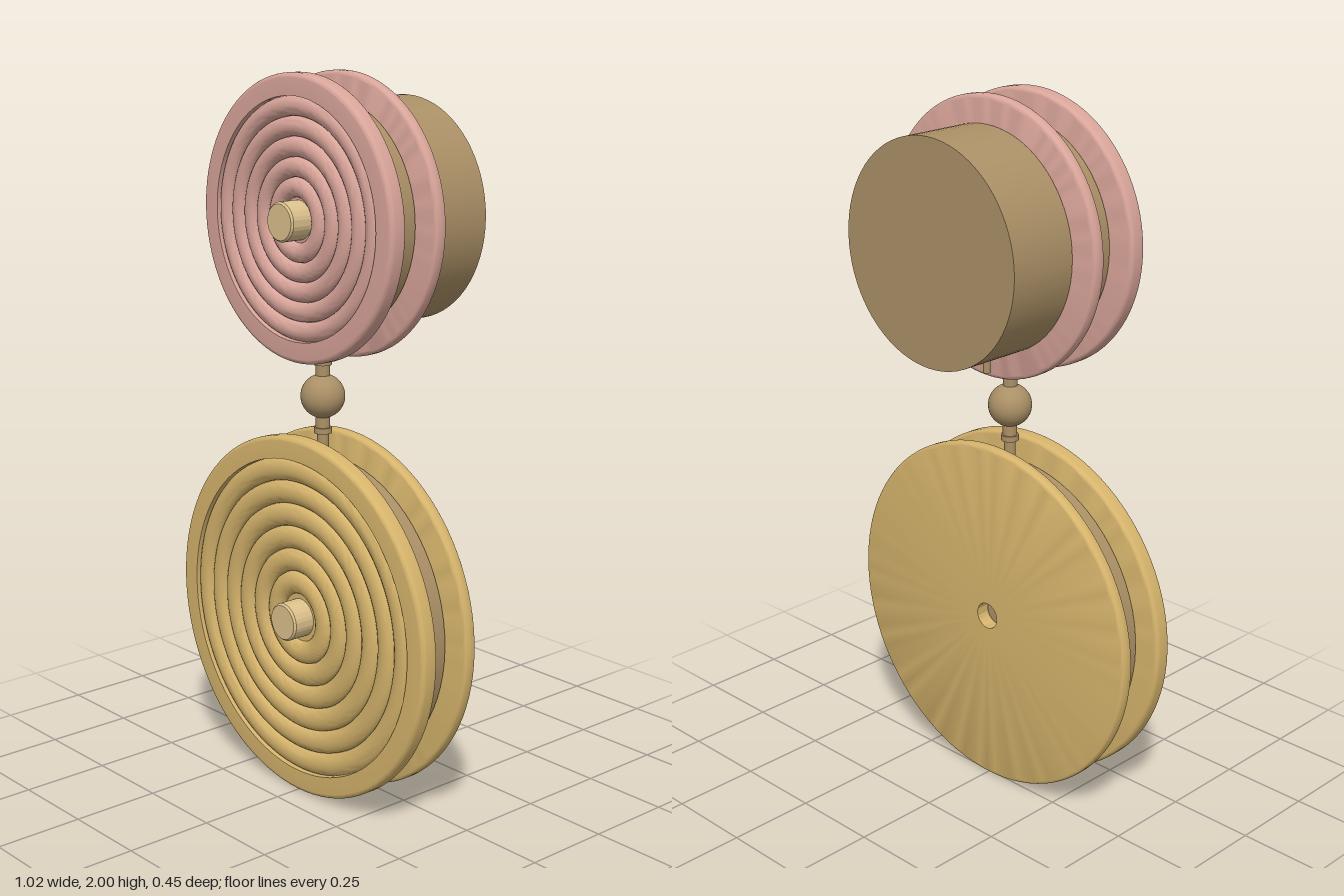
import * as THREE from 'three';
import { toCreasedNormals } from 'three/addons/utils/BufferGeometryUtils.js';

const mat = (name, color) => new THREE.MeshStandardMaterial({ name, color });

export function createModel() {
  const pink = mat('rose', 0xd9a59a);
  const gold = mat('gold', 0xd6b46c);
  const brown = mat('bronze', 0xab9066);
  const tan = mat('pale brass', 0xdcc18c);
  const tube = brown.clone();
  tube.name = 'bronze two sided';
  tube.side = THREE.DoubleSide;

  const model = new THREE.Group();
  model.name = 'twoDiscPendant';

  const add = (parent, name, geometry, material, x = 0, y = 0, z = 0) => {
    const mesh = new THREE.Mesh(geometry, material);
    mesh.name = name;
    mesh.position.set(x, y, z);
    parent.add(mesh);
    return mesh;
  };

  // Lathe around the z axis; points are [radius, z] from back to front
  const turned = (points) => {
    const g = new THREE.LatheGeometry(points.map(([r, z]) => new THREE.Vector2(r, z)), 96);
    g.rotateX(Math.PI / 2);
    return toCreasedNormals(g, 0.6);
  };

  // Cylinder along z between two depths
  const zCylinder = (r, z0, z1, open = false) => {
    const g = new THREE.CylinderGeometry(r, r, z1 - z0, 72, 1, open);
    return g.rotateX(Math.PI / 2).translate(0, 0, (z0 + z1) / 2);
  };

  // Rounded outer edge of a plate
  const rim = (r, z0, z1, b) => {
    const points = [];
    for (let i = 0; i <= 10; i++) {
      const a = -Math.PI / 2 + (i % 11) * Math.PI / 10;
      const mid = i < 5 ? z0 + b : z1 - b;
      if (i === 5) points.push([r, z0 + b], [r, z1 - b]);
      else points.push([r - b + b * Math.cos(a), mid + b * Math.sin(a)]);
    }
    return points;
  };

  // Front plate with concentric half-round ridges inside a flat rim
  const ridgedPlate = (r, outer, inner, rings) => {
    const z0 = 0.128, z1 = 0.18, depth = 0.02;
    const points = [[0, z0], ...rim(r, z0, z1, 0.013), [outer, z1], [outer, z1 - depth]];
    const pitch = (outer - inner) / rings;
    for (let k = 0; k < rings; k++) {
      const centre = outer - pitch * (k + 0.5);
      for (let i = 1; i <= 10; i++) {
        const a = i * Math.PI / 10;
        points.push([centre + Math.cos(a) * pitch / 2, z1 - depth + Math.sin(a) * depth]);
      }
    }
    points.push([0, z1 - depth]);
    return turned(points);
  };

  // Back plate, with an optional centre hole
  const backPlate = (r, hole) => {
    const z0 = -0.0125, z1 = 0.0255;
    const points = [[hole, z0], ...rim(r, z0, z1, 0.012), [hole, z1]];
    if (hole) points.push([hole, z0]);
    return turned(points);
  };

  const makeDisc = (name, y, r, drumR, outer, inner, rings, material, hole) => {
    const disc = new THREE.Group();
    disc.name = name;
    disc.position.y = y;
    model.add(disc);
    add(disc, 'ridgedFrontPlate', ridgedPlate(r, outer, inner, rings), material);
    add(disc, 'backPlate', backPlate(r, hole), material);
    add(disc, 'drum', zCylinder(drumR, 0.031, 0.1245), brown);
    add(disc, 'frontHub', zCylinder(0.04, 0.12, 0.13), brown);
    add(disc, 'rearHub', zCylinder(0.04, 0.022, 0.033, true), tube);
    add(disc, 'knob', turned([
      [0.053, 0.155], [0.053, 0.221], [0.048, 0.2265], [0, 0.2265],
    ]), tan);
    return disc;
  };

  const upper = makeDisc('upperDisc', 1.619, 0.382, 0.309, 0.323, 0.06, 5, pink, 0);
  const lower = makeDisc('lowerDisc', 0.516, 0.512, 0.438, 0.45, 0.068, 6, gold, 0.038);

  // Rear housing of the upper disc, with two small pins underneath
  add(upper, 'rearHousing', zCylinder(0.307, -0.227, -0.0155), brown);
  add(upper, 'housingNeck', zCylinder(0.25, -0.018, -0.01), brown);
  for (const side of [-1, 1]) {
    add(upper, 'housingPin', new THREE.CylinderGeometry(0.01, 0.01, 0.05, 16), brown,
      side * 0.115, -0.288, -0.13);
  }

  // Spacer pin between the lower plates
  add(lower, 'spacerPin', zCylinder(0.027, 0.02, 0.135), tan, 0, -0.469, 0);

  // Rod with a ball and collars joining the two discs
  const link = new THREE.Group();
  link.name = 'connector';
  link.position.set(0, 1.133, 0.078);
  model.add(link);
  add(link, 'rod', new THREE.CylinderGeometry(0.016, 0.016, 0.4, 24), brown);
  add(link, 'ball', new THREE.SphereGeometry(0.061, 40, 28), brown);
  for (const side of [-1, 1]) {
    add(link, 'collar', new THREE.CylinderGeometry(0.025, 0.025, 0.016, 32), brown,
      0, side * 0.095, 0);
    add(link, 'neck', new THREE.CylinderGeometry(0.02, 0.02, 0.05, 24), brown,
      0, side * 0.07, 0);
  }

  return model;
}
